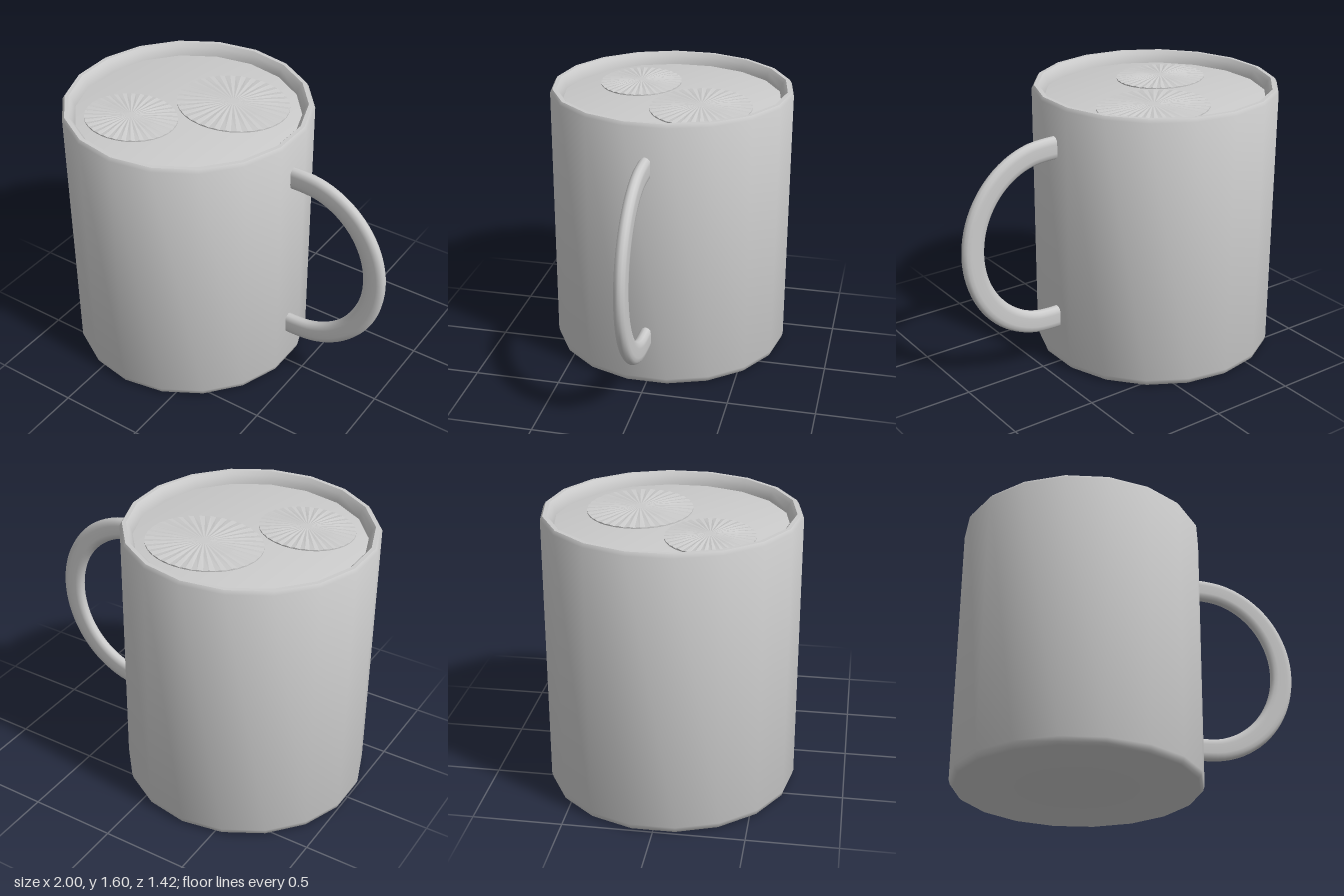
import * as THREE from 'three';
import { toCreasedNormals } from 'three/addons/utils/BufferGeometryUtils.js';

const SIDES = 18;
const CUP_X = -0.305;
const LIQUID_Y = 1.53;

const points = (list) => list.map(([x, y]) => new THREE.Vector2(x, y));

function makeMesh(name, geometry, material) {
  const mesh = new THREE.Mesh(geometry, material);
  mesh.name = name;
  return mesh;
}

// Thin oval float with shallow radial pleats around a small hub
function pleatedDisc() {
  const profile = points([[1, -0.03], [1, 0.004], [0.55, 0.011], [0.1, 0.013], [0, 0.013]]);
  const pleats = 32;
  const geometry = new THREE.LatheGeometry(profile, pleats * 2);
  const pos = geometry.attributes.position;
  for (let i = 0; i < pos.count; i++) {
    const ring = i % profile.length;
    const step = Math.floor(i / profile.length);
    if (step % 2 && (ring === 1 || ring === 2)) pos.setY(i, pos.getY(i) - 0.004);
  }
  return geometry;
}

export function createModel() {
  const group = new THREE.Group();
  group.name = 'mug';
  const material = new THREE.MeshStandardMaterial({ color: 0xcccccc });
  const pleatMaterial = new THREE.MeshStandardMaterial({ color: 0xcccccc, flatShading: true });

  // Cup wall: base, bevels, rim and inside
  const cupProfile = points([
    [0, 0], [0.685, 0], [0.7, 0.012], [0.708, 0.04],
    [0.708, 1.58], [0.695, 1.6], [0.672, 1.6], [0.655, 1.58],
    [0.64, 1.54], [0.635, 1.5], [0.635, 0.08], [0, 0.08],
  ]);
  const cup = makeMesh('cup', toCreasedNormals(new THREE.LatheGeometry(cupProfile, SIDES), 0.75), material);
  cup.position.x = CUP_X;
  group.add(cup);

  // Drink, softly shaded toward its edge
  const drinkProfile = points([[0.64, 1.42], [0.64, LIQUID_Y], [0, LIQUID_Y]]);
  const drink = makeMesh('drink', new THREE.LatheGeometry(drinkProfile, SIDES), material);
  drink.position.x = CUP_X;
  group.add(drink);

  // Two pleated floats: x, z, half width, half depth
  const floats = [[-0.138, -0.203, 0.332, 0.292], [-0.527, 0.237, 0.272, 0.24]];
  floats.forEach(([x, z, rx, rz], i) => {
    const disc = makeMesh(i ? 'smallFloat' : 'largeFloat', pleatedDisc(), pleatMaterial);
    disc.position.set(x, LIQUID_Y + 0.005, z);
    disc.scale.set(rx, 1, rz);
    group.add(disc);
  });

  // Handle: half-oval path with short straight ends inside the wall
  const path = new THREE.CurvePath();
  const top = new THREE.Vector3(0.45, 1.342, 0);
  const bottom = new THREE.Vector3(0.45, 0.303, 0);
  const arc = [];
  for (let i = 0; i <= 16; i++) {
    const a = Math.PI / 2 - (i / 16) * Math.PI;
    arc.push(new THREE.Vector3(0.45 + 0.482 * Math.cos(a), 0.8225 + 0.5195 * Math.sin(a), 0));
  }
  path.add(new THREE.LineCurve3(new THREE.Vector3(0.36, top.y, 0), top));
  path.add(new THREE.CatmullRomCurve3(arc));
  path.add(new THREE.LineCurve3(bottom, new THREE.Vector3(0.36, bottom.y, 0)));
  const handleGeometry = new THREE.TubeGeometry(path, 48, 0.067, 16, false);

  // Flatten the round section into a slim band with rounded edges
  const pos = handleGeometry.attributes.position;
  for (let i = 0; i < pos.count; i++) {
    pos.setZ(i, THREE.MathUtils.clamp(pos.getZ(i) * 0.62, -0.031, 0.031));
  }
  group.add(makeMesh('handle', toCreasedNormals(handleGeometry, 0.9), material));

  return group;
}
